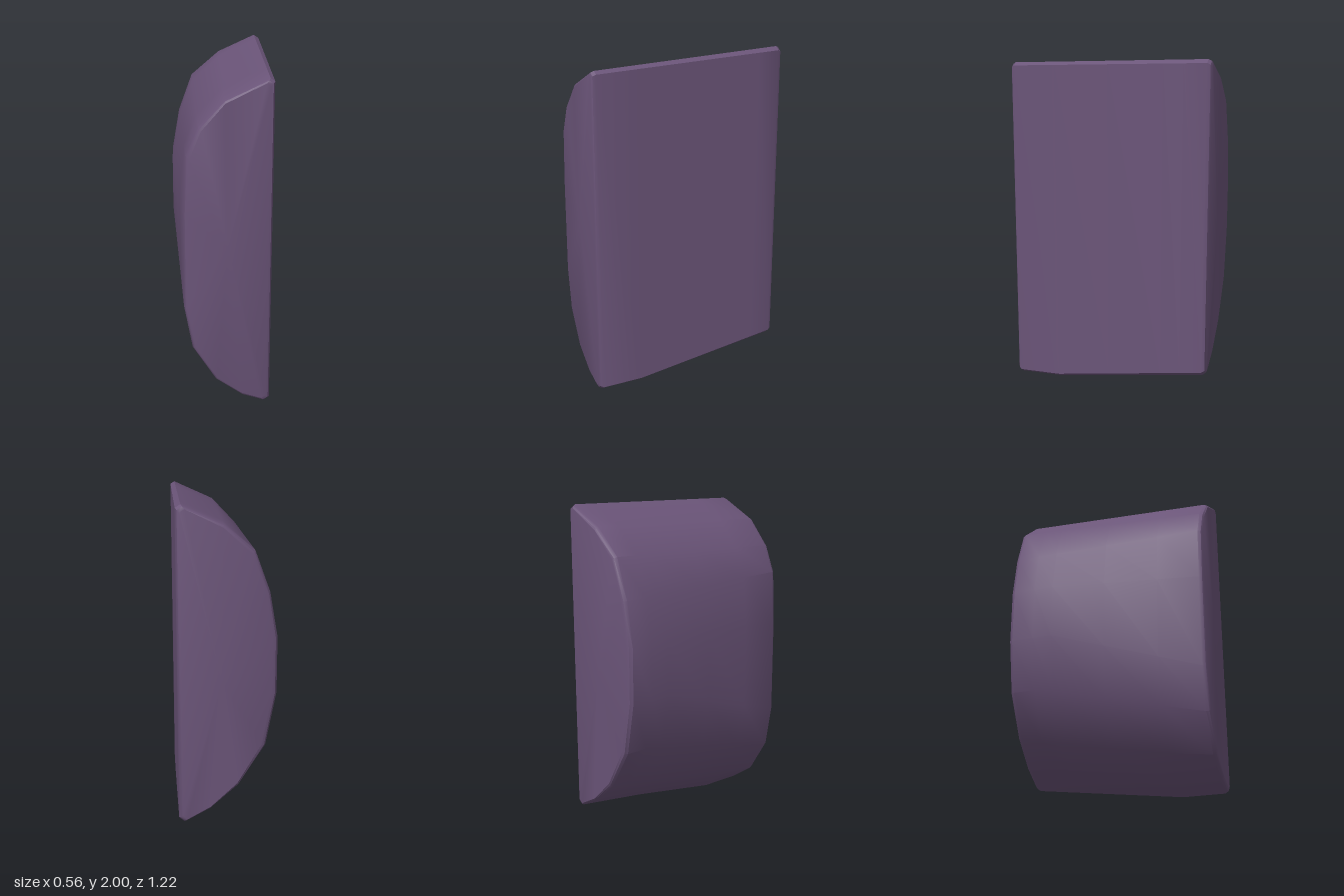
import * as THREE from 'three';
import { toCreasedNormals } from 'three/addons/utils/BufferGeometryUtils.js';

// Matching D-shaped outlines of both ends, counterclockwise from the top.
// Each entry: front x, front y, back x, back y, z where the blend starts, z where it ends.
const OUTLINE = [
  [0.28, 1.94, 0.28, 1.98, 0.6, -0.6],
  [0.255, 1.957, 0.25, 2.0, 0.6, -0.6],
  [0.01, 1.845, 0.02, 1.895, 0.6, -0.6],
  [-0.135, 1.69, -0.155, 1.745, 0.6, -0.6],
  [-0.205, 1.53, -0.24, 1.51, 0.6, -0.45],
  [-0.222, 1.2, -0.285, 1.25, 0.6, -0.33],
  [-0.222, 0.62, -0.285, 0.92, 0.6, -0.33],
  [-0.175, 0.36, -0.225, 0.6, 0.6, -0.45],
  [-0.04, 0.15, -0.07, 0.35, 0.5, -0.6],
  [0.12, 0.04, 0.1, 0.2, 0.33, -0.6],
  [0.25, 0.0, 0.25, 0.12, 0.33, -0.6],
  [0.28, 0.02, 0.28, 0.145, 0.33, -0.6],
];

// Outline at depth z, drawn in by a small inset for the bevelled rims
function section(z, inset) {
  return OUTLINE.map(([fx, fy, bx, by, z0, z1]) => {
    const t = THREE.MathUtils.clamp((z0 - z) / (z0 - z1), 0, 1);
    const x = fx + (bx - fx) * t, y = fy + (by - fy) * t;
    return [0.03 + (x - 0.03) * (1 - inset / 0.25), 1 + (y - 1) * (1 - inset / 0.95), z];
  });
}

function loft(rings) {
  const n = rings[0].length, last = rings.length - 1;
  const positions = rings.flat(2);
  const index = [];
  for (let i = 0; i < last; i++) {
    for (let j = 0; j < n; j++) {
      const a = i * n + j, b = i * n + (j + 1) % n;
      index.push(a, a + n, b, b, a + n, b + n);
    }
  }
  // end caps
  const front = positions.length / 3, back = front + 1;
  positions.push(0.03, 1, rings[0][0][2], 0.03, 1, rings[last][0][2]);
  for (let j = 0; j < n; j++) {
    const k = (j + 1) % n;
    index.push(front, j, k, back, last * n + k, last * n + j);
  }
  const geometry = new THREE.BufferGeometry();
  geometry.setAttribute('position', new THREE.Float32BufferAttribute(positions, 3));
  geometry.setIndex(index);
  return toCreasedNormals(geometry, 0.55);
}

export function createModel() {
  const group = new THREE.Group();
  group.name = 'curvedPanel';
  // rim, body and rim from front to back
  const rings = [
    [0.61, 0.022], [0.603, 0.009], [0.585, 0], [0.33, 0], [0, 0],
    [-0.33, 0], [-0.45, 0], [-0.585, 0], [-0.603, 0.009], [-0.61, 0.022],
  ].map(([z, inset]) => section(z, inset));
  const body = new THREE.Mesh(loft(rings), new THREE.MeshStandardMaterial({ color: 0x6a5478 }));
  body.name = 'panelBody';
  group.add(body);
  return group;
}
